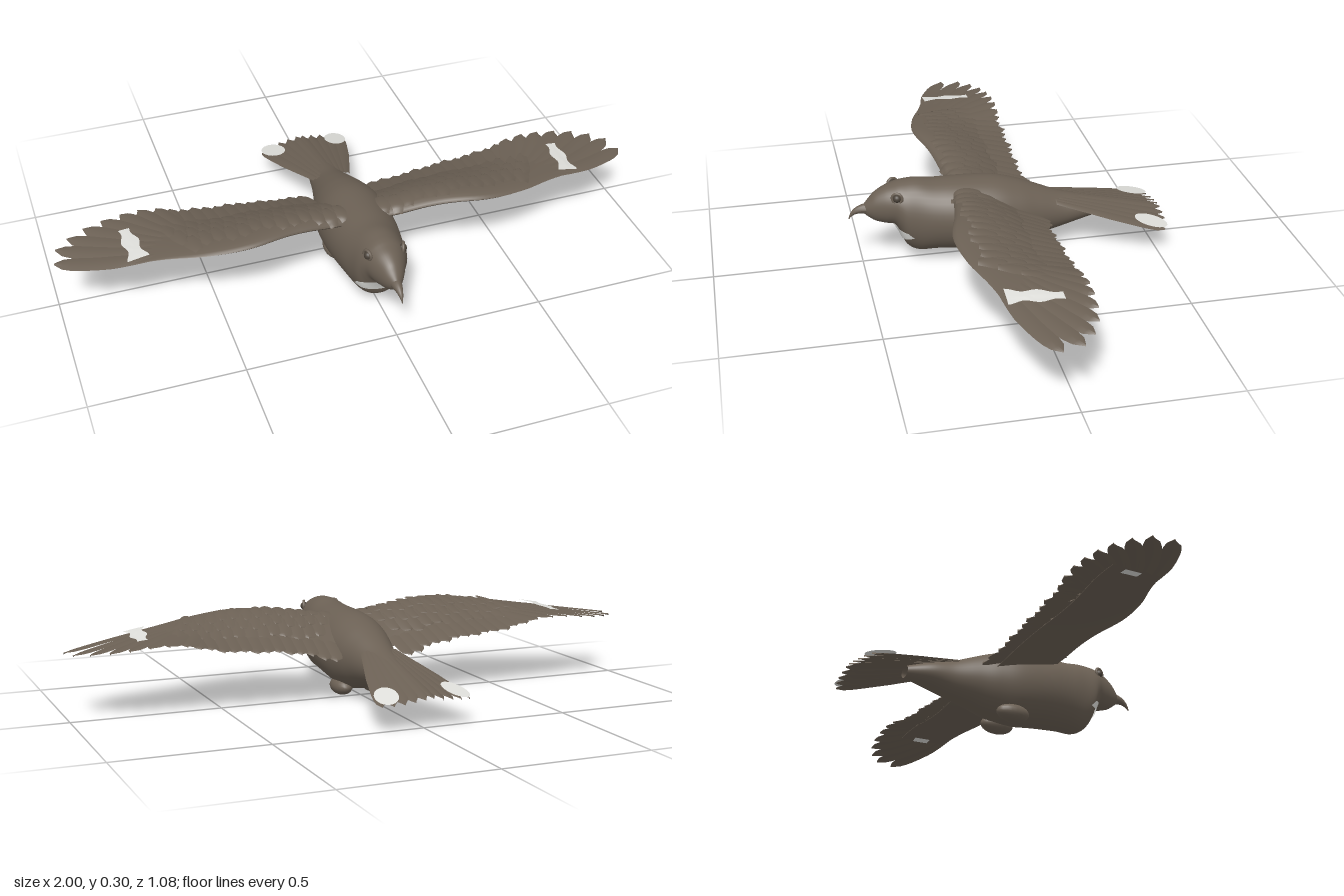
import * as THREE from 'three';

const D = THREE.DoubleSide;
const brown = new THREE.MeshStandardMaterial({ name: 'brownPlumage', color: 0x6b6054, side: D });
const white = new THREE.MeshStandardMaterial({ name: 'whitePatch', color: 0xdededa, side: D });
const dark = new THREE.MeshStandardMaterial({ name: 'darkEye', color: 0x4a4239, side: D });

// Smooth sheet whose vertices follow rule(u, v) -> [x, y, z]
function sheet(name, material, nu, nv, rule) {
  const geo = new THREE.PlaneGeometry(1, 1, nu, nv);
  const p = geo.attributes.position, uv = geo.attributes.uv;
  for (let i = 0; i < p.count; i++) p.setXYZ(i, ...rule(uv.getX(i), uv.getY(i)));
  geo.computeVertexNormals();
  const mesh = new THREE.Mesh(geo, material);
  mesh.name = name;
  return mesh;
}

// Smoothed interpolation in a small table of [x, value]
function table(pts) {
  const curve = new THREE.CatmullRomCurve3(pts.map(([x, y]) => new THREE.Vector3(x, y, 0)), false, 'catmullrom', 0.5);
  const samples = curve.getPoints(pts.length * 12);
  return (x) => {
    let i = 1;
    while (i < samples.length - 1 && samples[i].x < x) i++;
    const a = samples[i - 1], b = samples[i];
    return THREE.MathUtils.lerp(a.y, b.y, THREE.MathUtils.clamp((x - a.x) / (b.x - a.x), 0, 1));
  };
}

// Body sections: z, bottom, top, half width
const SECTIONS = [
  [0.49, 0.185, 0.215, 0.012], [0.47, 0.168, 0.238, 0.028], [0.45, 0.155, 0.258, 0.04],
  [0.42, 0.146, 0.275, 0.055], [0.39, 0.14, 0.285, 0.068], [0.372, 0.11, 0.29, 0.078],
  [0.35, 0.06, 0.293, 0.088], [0.31, 0.035, 0.294, 0.095], [0.25, 0.036, 0.285, 0.108],
  [0.16, 0.03, 0.282, 0.12], [0.05, 0.018, 0.275, 0.12], [-0.03, 0.03, 0.255, 0.105],
  [-0.1, 0.05, 0.228, 0.085], [-0.18, 0.068, 0.195, 0.065], [-0.26, 0.09, 0.172, 0.052],
  [-0.34, 0.105, 0.145, 0.025],
];
const spine = new THREE.CatmullRomCurve3(SECTIONS.map((s) => new THREE.Vector3(s[0], s[1], s[2])), false, 'catmullrom', 0.5);
const girth = new THREE.CatmullRomCurve3(SECTIONS.map((s) => new THREE.Vector3(s[3], 0, 0)), false, 'catmullrom', 0.5);
function section(u) {
  const s = spine.getPoint(u);
  return { z: s.x, mid: (s.y + s.z) / 2, h: (s.z - s.y) / 2, w: girth.getPoint(u).x };
}
// Frontmost z of the body at a given x, y
function bodyFront(x, y) {
  for (let u = 0; u < 1; u += 0.002) {
    const s = section(u);
    if ((x / s.w) ** 2 + ((y - s.mid) / s.h) ** 2 <= 1) return s.z;
  }
  return 0;
}

// Wing plan and camber
const lead = table([[0, 0.19], [0.12, 0.205], [0.25, 0.225], [0.4, 0.258], [0.54, 0.24], [0.67, 0.195], [0.83, 0.15], [0.94, 0.1], [1, 0.055]]);
const crest = table([[0, 0.235], [0.12, 0.25], [0.22, 0.267], [0.35, 0.278], [0.5, 0.27], [0.7, 0.25], [0.85, 0.23], [1, 0.213]]);
const droop = table([[0, 0.1], [0.2, 0.105], [0.35, 0.095], [0.5, 0.07], [0.7, 0.015], [1, 0]]);
const thick = table([[0, 0.035], [0.12, 0.03], [0.35, 0.022], [0.5, 0.015], [0.62, 0.008], [0.76, 0.002]]);
const TRAIL = -0.11;
const armChord = (x) => 0.82 - 0.25 * x;
const chordT = (x, z) => THREE.MathUtils.clamp((lead(x) - z) / (lead(x) - TRAIL), 0, 1.1);
const wingY = (x, z) => crest(x) - droop(x) * chordT(x, z) ** 1.3;
const foil = (u) => (u >= 1 ? 0 : 2.6 * Math.sqrt(u) * (1 - u));
const wingTop = (x, z) => wingY(x, z) + (x < 0.76 ? thick(x) * foil(chordT(x, z) / armChord(x)) : 0);
const tailY = (x, z) => 0.17 + 0.235 * (z + 0.24) - 0.12 * Math.abs(x);

// One vane lying on a surface, running from base to tip, both [x, z]
function feather(name, surf, side, base, tip, width, bow, lift) {
  const dx = tip[0] - base[0], dz = tip[1] - base[1], len = Math.hypot(dx, dz);
  return sheet(name, brown, 4, 14, (u, s) => {
    const v = u * 2 - 1;
    const round = s > 0.78 ? Math.sqrt(Math.max(0, 1 - ((s - 0.78) / 0.22) ** 2)) : 1;
    const w = width * Math.min(1, 0.5 + s) * round * v;
    const b = bow * Math.sin(Math.PI * s);
    const x = base[0] + dx * s - (dz / len) * (w + b);
    const z = base[1] + dz * s + (dx / len) * (w + b);
    return [side * x, surf(x, z) + lift + 0.004 * (1 - v * v) - 0.002 * v, z];
  });
}

function makeWing(side) {
  const wing = new THREE.Group();
  wing.name = side > 0 ? 'leftWing' : 'rightWing';

  // Arm with a rounded leading edge
  wing.add(sheet('wingArm', brown, 40, 28, (u, v) => {
    const x = u * 0.76, a = v * Math.PI * 2;
    const c = (1 - Math.cos(a)) / 2;
    const z = lead(x) - c * armChord(x) * (lead(x) - TRAIL);
    return [side * x, wingY(x, z) + Math.sign(Math.sin(a)) * thick(x) * foil(c) * (a > Math.PI ? 0.6 : 1), z];
  }));

  // Long outer flight feathers, from the wing tip inward
  const tips = [[1, 0.055], [0.985, -0.012], [0.94, -0.052], [0.882, -0.08], [0.82, -0.094],
    [0.755, -0.1], [0.695, -0.102], [0.635, -0.1]];
  tips.forEach((tip, i) => {
    const k = i / (tips.length - 1);
    wing.add(feather('primaryFeather', wingY, side, [0.63 - 0.07 * k, 0.175 - 0.1 * k], tip, 0.029, 0.018 * (1 - k), 0.0006 * i));
  });

  // Inner flight feathers
  for (let i = 0; i < 13; i++) {
    const x = 0.59 - i * 0.038;
    const z = -0.097 + 0.006 * Math.sin(i * 2.1) - (i > 9 ? 0.008 * (i - 9) : 0);
    wing.add(feather('secondaryFeather', wingY, side, [x - 0.015, 0.08], [x, z], 0.028, 0, 0.001 + 0.0005 * i));
  }

  // Overlapping covert rows above
  for (let row = 0; row < 3; row++) {
    for (let i = 0; i < 13; i++) {
      const x = 0.64 - row * 0.03 - i * 0.041;
      const z = 0.0 + row * 0.055 + 0.012 * Math.sin(i * 1.7 + row);
      wing.add(feather('covertFeather', wingTop, side, [x - 0.02, z + 0.09], [x, z], 0.027, 0, 0.001 + 0.001 * row));
    }
  }

  // White band across the outer feathers, with a small spot beneath
  wing.add(sheet('wingBand', white, 6, 16, (u, s) => {
    const z = 0.165 - 0.172 * s;
    const x = 0.746 + 0.014 * s + (u * 2 - 1) * 0.036 * (0.8 + 0.2 * Math.cos(s * 11)) * (1 - 0.35 * s);
    return [side * x, wingTop(x, z) + 0.011, z];
  }));
  wing.add(sheet('wingSpotBelow', white, 4, 6, (u, s) => {
    const x = 0.73 + 0.03 * u, z = 0.1 - 0.06 * s;
    return [side * x, wingY(x, z) - 0.006, z];
  }));
  return wing;
}

function makeTail() {
  const tail = new THREE.Group();
  tail.name = 'tail';
  for (const side of [1, -1]) {
    for (let i = 0; i < 5; i++) {
      tail.add(feather('tailFeather', tailY, side, [0.008 + 0.012 * i, -0.16],
        [0.013 + 0.034 * i, -0.543 + 0.022 * (i / 4) ** 3], 0.023, 0, 0.004 - 0.0012 * i));
    }
    tail.add(sheet('tailPatch', white, 20, 4, (u, r) => {
      const a = u * Math.PI * 2;
      const z = -0.479 + 0.056 * r * Math.sin(a);
      const x = 0.119 + 0.039 * r * Math.cos(a) - (z + 0.479) * 0.12;
      return [side * x, tailY(x, z) + 0.0095, z];
    }));
  }
  return tail;
}

export function createModel() {
  const bird = new THREE.Group();
  bird.name = 'bird';

  // Head and body in one smooth loft
  bird.add(sheet('body', brown, 40, 90, (u, v) => {
    const s = section(v), a = u * Math.PI * 2;
    return [s.w * Math.sin(a), s.mid - s.h * Math.cos(a), s.z];
  }));

  // Small hooked beak
  const hook = new THREE.QuadraticBezierCurve3(
    new THREE.Vector3(0, 0.2, 0.475), new THREE.Vector3(0, 0.205, 0.525), new THREE.Vector3(0, 0.167, 0.54));
  bird.add(sheet('beak', brown, 14, 12, (u, v) => {
    const p = hook.getPoint(v), t = hook.getTangent(v), a = u * Math.PI * 2, r = 0.019 * (1 - v) + 0.001;
    return [r * Math.cos(a), p.y + r * Math.sin(a) * t.z, p.z - r * Math.sin(a) * t.y];
  }));

  // White throat band following the breast
  bird.add(sheet('throatBand', white, 24, 6, (u, v) => {
    const k = u * 2 - 1, x = 0.083 * k;
    const y = 0.117 + (v - 0.5) * 0.046 * Math.sqrt(1 - 0.8 * k * k) + 0.006 * k * k;
    return [x * 1.03, y, bodyFront(x, y) + 0.005];
  }));

  for (const side of [1, -1]) {
    // Eye with a raised lid
    const eye = new THREE.Mesh(new THREE.SphereGeometry(0.014, 16, 12), dark);
    eye.name = 'eye';
    eye.position.set(side * 0.058, 0.255, 0.383);
    const lid = new THREE.Mesh(new THREE.TorusGeometry(0.017, 0.005, 8, 20), brown);
    lid.name = 'eyelid';
    lid.position.set(side * 0.06, 0.256, 0.383);
    lid.rotation.set(0, side * 1.2, 0);
    // Tucked leg tufts under the belly
    const tuft = new THREE.Mesh(new THREE.SphereGeometry(1, 20, 14), brown);
    tuft.name = 'legTuft';
    tuft.scale.set(0.035, 0.03, 0.06);
    tuft.position.set(side * 0.058, 0.031, 0.035);
    bird.add(eye, lid, tuft, makeWing(side));
  }
  bird.add(makeTail());
  return bird;
}
